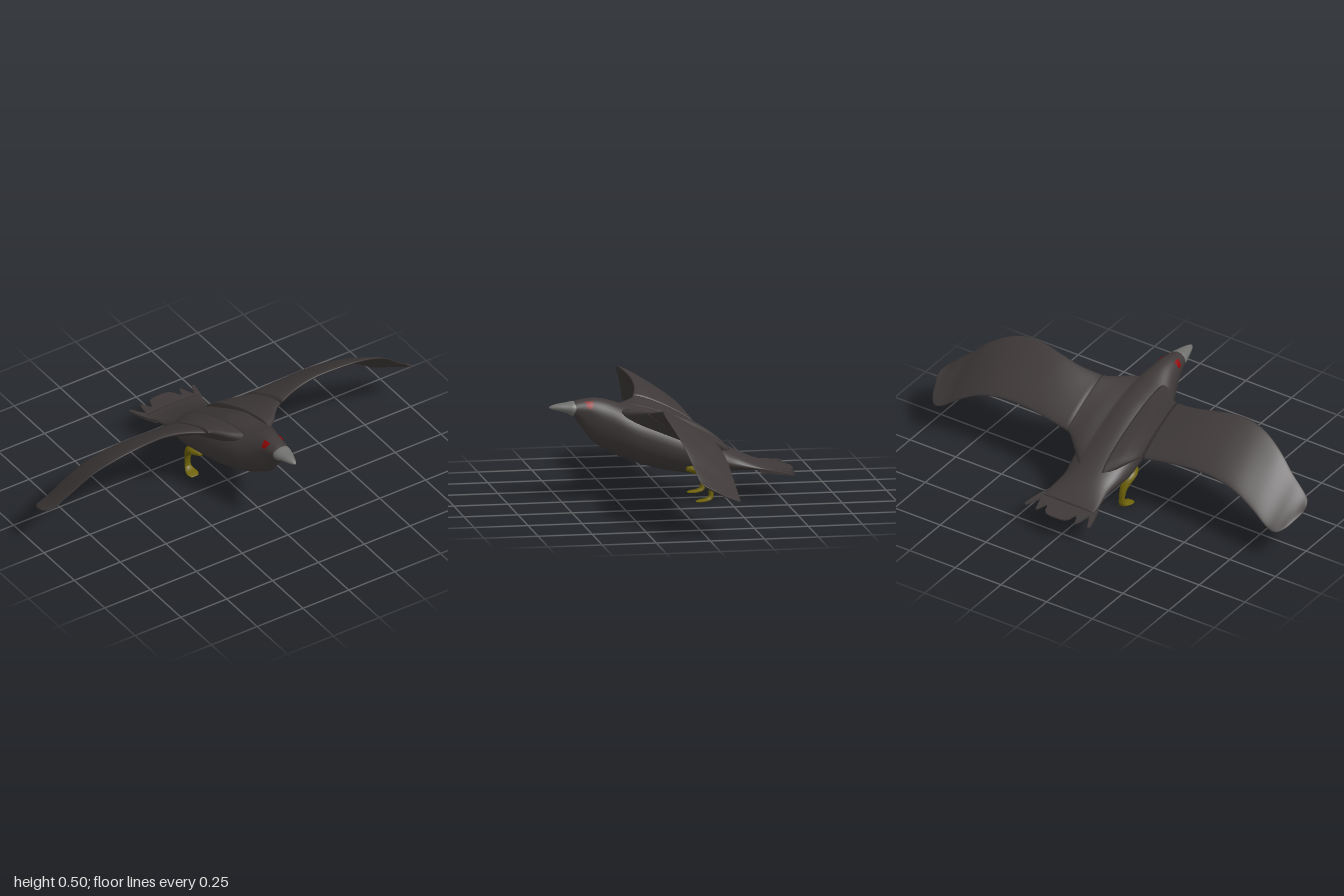
import * as THREE from 'three';

const paint = (color) => {
  const m = new THREE.MeshStandardMaterial({ side: THREE.DoubleSide });
  m.color.set(color);
  return m;
};

// Smoothly resample rows of numbers (Catmull-Rom in every column)
function smooth(rows, per) {
  const out = [];
  const cr = (a, b, c, d, t) =>
    b + 0.5 * t * (c - a + t * (2 * a - 5 * b + 4 * c - d + t * (3 * (b - c) + d - a)));
  for (let i = 0; i < rows.length - 1; i++) {
    const p = [rows[Math.max(i - 1, 0)], rows[i], rows[i + 1], rows[Math.min(i + 2, rows.length - 1)]];
    for (let k = 0; k < per; k++) {
      out.push(rows[i].map((_, c) => cr(p[0][c], p[1][c], p[2][c], p[3][c], k / per)));
    }
  }
  out.push(rows[rows.length - 1]);
  return out;
}

// Closed skin over rings of points, with capped ends, always facing outward
function loft(rings) {
  const n = rings[0].length, pts = rings.flat(), idx = [];
  for (let i = 0; i < rings.length - 1; i++) {
    for (let j = 0; j < n; j++) {
      const a = i * n + j, b = i * n + (j + 1) % n;
      idx.push(a, b, b + n, a, b + n, a + n);
    }
  }
  [0, rings.length - 1].forEach((r, end) => {
    const mid = new THREE.Vector3();
    rings[r].forEach((p) => mid.addScaledVector(p, 1 / n));
    const c = pts.push(mid) - 1;
    for (let j = 0; j < n; j++) {
      const a = r * n + j, b = r * n + (j + 1) % n;
      idx.push(...(end ? [c, a, b] : [c, b, a]));
    }
  });
  let volume = 0;
  const cross = new THREE.Vector3();
  for (let i = 0; i < idx.length; i += 3) {
    volume += pts[idx[i]].dot(cross.crossVectors(pts[idx[i + 1]], pts[idx[i + 2]]));
  }
  if (volume < 0) idx.reverse();
  const g = new THREE.BufferGeometry().setFromPoints(pts);
  g.setIndex(idx);
  g.computeVertexNormals();
  return g;
}

const around = (n, f) => Array.from({ length: n }, (_, j) => f((j / n) * Math.PI * 2));

// Point on an egg-shaped section: [z, top, bottom, half width, height of widest point]
function eggPoint([z, top, bottom, w, yw], a, grow = 0) {
  const s = Math.sin(a), h = s > 0 ? top - yw : yw - bottom;
  return new THREE.Vector3((w + grow) * Math.cos(a), yw + (h + grow) * s, z);
}
const eggLoft = (rows) => loft(smooth(rows, 5).map((r) => around(36, (a) => eggPoint(r, a))));

// Blade along x: [x, lead z, lead y, trail z, trail y, half thickness]
function bladeLoft(rows, side) {
  return loft(smooth(rows, 4).map(([x, lz, ly, tz, ty, h]) => {
    const len = Math.hypot(lz - tz, ly - ty), dz = (lz - tz) / len, dy = (ly - ty) / len;
    return around(28, (a) => {
      const c = Math.cos(a) * len / 2, s = Math.sin(a) * h;
      return new THREE.Vector3(side * x, (ly + ty) / 2 + dy * c + dz * s, (lz + tz) / 2 + dz * c - dy * s);
    });
  }));
}

// Leg path: [x, y, z, half width, half depth]
function legLoft(rows, side) {
  const r = smooth(rows, 4);
  return loft(r.map(([x, y, z, rx, rn], i) => {
    const p = r[Math.max(i - 1, 0)], q = r[Math.min(i + 1, r.length - 1)];
    const len = Math.hypot(q[1] - p[1], q[2] - p[2]);
    const ny = -(q[2] - p[2]) / len, nz = (q[1] - p[1]) / len;
    return around(14, (a) => new THREE.Vector3(
      side * (x + rx * Math.cos(a)), Math.max(y + ny * rn * Math.sin(a), 0), z + nz * rn * Math.sin(a)));
  }));
}

const bodyRows = [
  [0.45, 0.467, 0.4, 0.042, 0.435], [0.42, 0.474, 0.36, 0.047, 0.43],
  [0.38, 0.479, 0.303, 0.056, 0.42], [0.35, 0.48, 0.272, 0.066, 0.4],
  [0.3, 0.472, 0.24, 0.085, 0.37], [0.22, 0.447, 0.197, 0.118, 0.34],
  [0.14, 0.43, 0.168, 0.135, 0.31], [0.05, 0.405, 0.142, 0.145, 0.28],
  [-0.06, 0.352, 0.122, 0.145, 0.24], [-0.15, 0.302, 0.116, 0.145, 0.2],
  [-0.22, 0.262, 0.121, 0.138, 0.185], [-0.3, 0.215, 0.127, 0.125, 0.165],
  [-0.4, 0.167, 0.131, 0.135, 0.146], [-0.455, 0.15, 0.129, 0.138, 0.138],
];
const beakRows = [
  [0.435, 0.467, 0.402, 0.043, 0.435], [0.455, 0.468, 0.401, 0.043, 0.435], [0.48, 0.463, 0.414, 0.036, 0.438],
  [0.515, 0.459, 0.424, 0.025, 0.44], [0.545, 0.452, 0.431, 0.013, 0.441], [0.56, 0.444, 0.439, 0.003, 0.441],
];
const shoulderRows = [
  [0.06, 0.25, 0.42, -0.27, 0.21, 0.06], [0.11, 0.215, 0.425, -0.225, 0.245, 0.05],
  [0.15, 0.172, 0.432, -0.19, 0.27, 0.036], [0.18, 0.145, 0.437, -0.165, 0.288, 0.027],
  [0.198, 0.138, 0.44, -0.157, 0.295, 0.024],
];
const wingRows = [
  [0.204, 0.135, 0.44, -0.155, 0.296, 0.024], [0.3, 0.112, 0.463, -0.147, 0.31, 0.02],
  [0.4, 0.111, 0.486, -0.139, 0.322, 0.017], [0.5, 0.125, 0.5, -0.136, 0.327, 0.015],
  [0.6, 0.133, 0.5, -0.136, 0.32, 0.014], [0.7, 0.122, 0.474, -0.139, 0.293, 0.013],
  [0.8, 0.093, 0.418, -0.146, 0.238, 0.011], [0.88, 0.067, 0.346, -0.155, 0.181, 0.009],
  [0.93, 0.054, 0.307, -0.153, 0.163, 0.008], [0.965, 0.045, 0.277, -0.12, 0.178, 0.007],
  [0.988, 0.03, 0.258, -0.065, 0.206, 0.006], [1, 0.002, 0.243, -0.03, 0.226, 0.003],
];
const legRows = [
  [0.105, 0.158, -0.055, 0.014, 0.012], [0.112, 0.155, -0.09, 0.027, 0.02], [0.115, 0.142, -0.128, 0.026, 0.021],
  [0.108, 0.098, -0.16, 0.018, 0.013], [0.105, 0.05, -0.169, 0.015, 0.01], [0.105, 0.02, -0.167, 0.017, 0.012],
  [0.107, 0.009, -0.145, 0.025, 0.007], [0.108, 0.006, -0.12, 0.028, 0.005], [0.11, 0.004, -0.1, 0.018, 0.002],
];

// Fanned tail: half outline [x, distance back] mirrored, then bent into a thin tapering sheet
function tailGeometry() {
  const half = [[0.13, 0.39], [0.152, 0.44], [0.167, 0.49], [0.179, 0.54], [0.168, 0.547], [0.15, 0.51],
    [0.131, 0.472], [0.12, 0.52], [0.11, 0.554], [0.1, 0.545], [0.083, 0.5], [0.072, 0.515],
    [0.066, 0.54], [0.05, 0.558], [0.025, 0.564]];
  const all = [...half, ...half.map(([x, d]) => [-x, d]).reverse()];
  const shape = new THREE.Shape(all.map(([x, d]) => new THREE.Vector2(x, d)));
  const g = new THREE.ExtrudeGeometry(shape, { depth: 1, bevelEnabled: false });
  g.rotateX(-Math.PI / 2);
  const p = g.attributes.position;
  for (let i = 0; i < p.count; i++) {
    const t = (-p.getZ(i) - 0.39) / 0.17, x = Math.abs(p.getX(i));
    const mid = 0.147 - 0.02 * t - 0.05 * x * (1 - 0.5 * t);
    p.setY(i, mid + (p.getY(i) - 0.5) * (0.018 - 0.012 * t));
  }
  g.computeVertexNormals();
  return g;
}

// Eye: small patch lying just above the head's surface
function eyeGeometry(side) {
  const n = 6, pts = [], idx = [];
  for (let i = 0; i <= n; i++) {
    for (let j = 0; j <= n; j++) {
      const a = 0.36 + (j / n) * 0.62, spread = 0.011 + 0.009 * (j / n);
      const z = 0.381 + (i / n * 2 - 1) * spread;
      const k = bodyRows.findIndex((r) => r[0] <= z);
      const A = bodyRows[k - 1], B = bodyRows[k], t = (A[0] - z) / (A[0] - B[0]);
      const v = eggPoint(A.map((q, c) => q + (B[c] - q) * t), a, 0.003);
      v.x *= side;
      pts.push(v);
      if (i < n && j < n) {
        const o = i * (n + 1) + j;
        idx.push(o, o + n + 1, o + 1, o + 1, o + n + 1, o + n + 2);
      }
    }
  }
  if (side > 0) idx.reverse();
  const g = new THREE.BufferGeometry().setFromPoints(pts);
  g.setIndex(idx);
  g.computeVertexNormals();
  return g;
}

export function createModel() {
  const bird = new THREE.Group();
  bird.name = 'bird';
  const feather = paint(0x3f3939), grey = paint(0x70706e), yellow = paint(0x6e6208), red = paint(0x8c0606);
  const add = (name, geometry, material) => {
    const mesh = new THREE.Mesh(geometry, material);
    mesh.name = name;
    bird.add(mesh);
  };
  add('body', eggLoft(bodyRows), feather);
  add('beak', eggLoft(beakRows), grey);
  add('tail', tailGeometry(), feather);
  for (const [side, label] of [[1, 'left'], [-1, 'right']]) {
    add(label + 'Shoulder', bladeLoft(shoulderRows, side), feather);
    add(label + 'Wing', bladeLoft(wingRows, side), feather);
    add(label + 'Leg', legLoft(legRows, side), yellow);
    add(label + 'Eye', eyeGeometry(side), red);
  }
  return bird;
}
